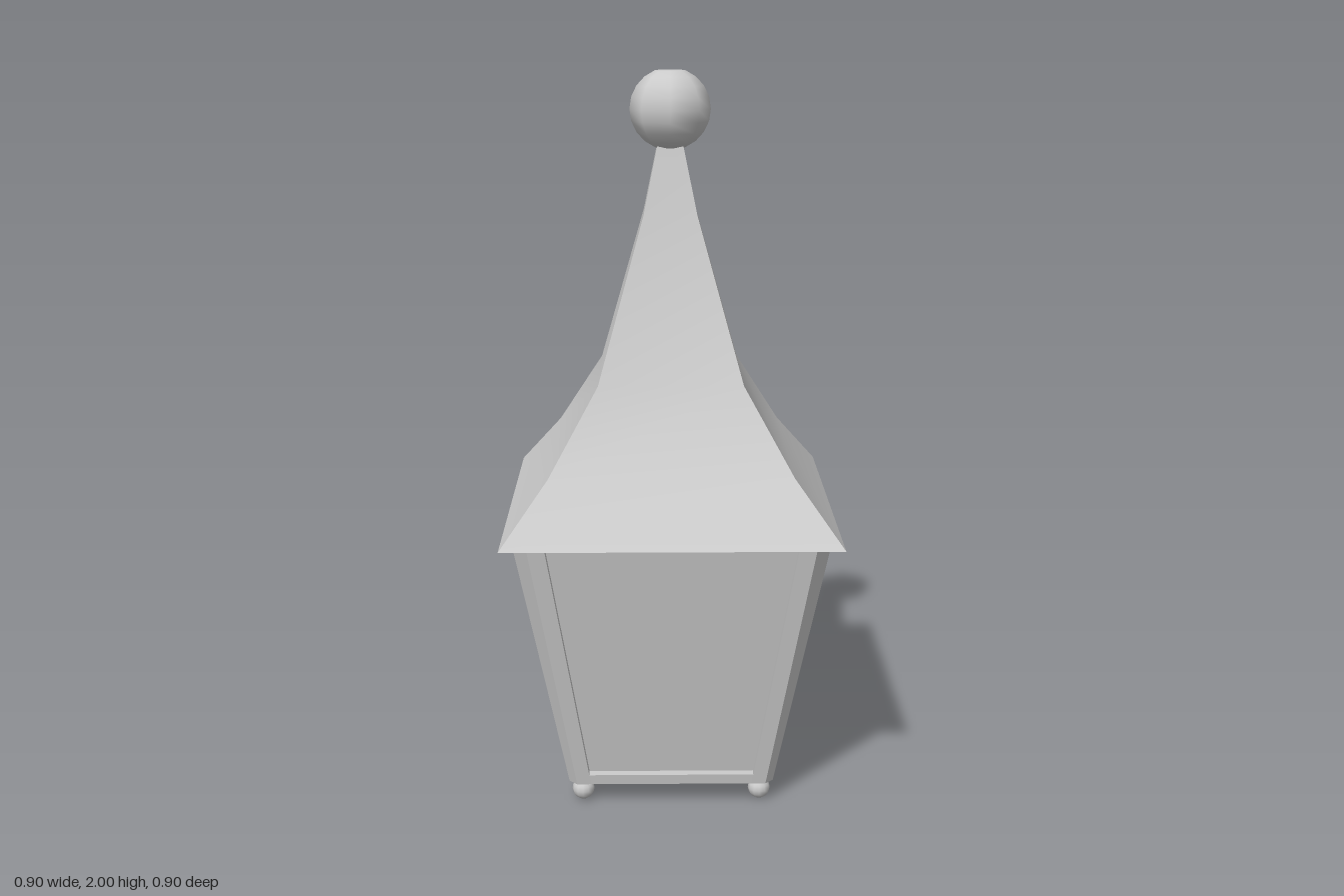
import * as THREE from 'three';
import { toCreasedNormals } from 'three/addons/utils/BufferGeometryUtils.js';

const material = new THREE.MeshStandardMaterial({ color: 0xcccccc, side: THREE.DoubleSide });

// Capped loft through rings { y, pts: [[x, z], ...] }, counter-clockwise seen from above
function loft(rings) {
  const n = rings[0].pts.length, pos = [], idx = [];
  for (const { y, pts } of rings) for (const [x, z] of pts) pos.push(x, y, z);
  for (let r = 0; r < rings.length - 1; r++) {
    for (let i = 0; i < n; i++) {
      const a = r * n + i, b = r * n + (i + 1) % n;
      idx.push(a, b, b + n, a, b + n, a + n);
    }
  }
  const top = (rings.length - 1) * n;
  for (let i = 1; i < n - 1; i++) {
    idx.push(0, i + 1, i);
    idx.push(top, top + i, top + i + 1);
  }
  const geo = new THREE.BufferGeometry();
  geo.setAttribute('position', new THREE.Float32BufferAttribute(pos, 3));
  geo.setIndex(idx);
  return toCreasedNormals(geo, 0.6);
}

const square = (h) => [[-h, h], [h, h], [h, -h], [-h, -h]];

export function createModel() {
  const model = new THREE.Group();
  const add = (name, geo, parent = model) => {
    const mesh = new THREE.Mesh(geo, material);
    mesh.name = name;
    parent.add(mesh);
    return mesh;
  };

  // Flared four-sided roof: [height, half width]
  const roofProfile = [[0.8, 0.45], [0.96, 0.325], [1.18, 0.195], [1.62, 0.072], [1.8, 0.035]];
  add('roof', loft(roofProfile.map(([y, h]) => ({ y, pts: square(h) }))));

  // Ball finial with flattened poles
  const finial = new THREE.Group();
  finial.name = 'finial';
  finial.position.y = 1.895;
  model.add(finial);
  const cut = 0.38, r = 0.109, capY = 0.105;
  add('finialBall', new THREE.SphereGeometry(r, 8, 8, 0, Math.PI * 2, cut, Math.PI - 2 * cut), finial);
  for (const s of [1, -1]) {
    const cap = add('finialCap', new THREE.CircleGeometry(r * Math.sin(cut), 8), finial);
    cap.rotation.x = -s * Math.PI / 2;
    cap.position.y = s * Math.min(capY, r * Math.cos(cut));
  }

  // Chamfered corner post: a = outer face, c = chamfer, w = inner edge
  const postRing = (y, a, c, w) => ({ y, pts: [[w, a], [a - c, a], [a, a - c], [a, w], [w, w]] });
  const postGeo = loft([postRing(0.06, 0.285, 0.022, 0.224), postRing(0.8, 0.42, 0.04, 0.333)]);

  // Sloping pane, set back behind the posts
  const slab = (y, x, z0, z1) => ({ y, pts: [[-x, z1], [x, z1], [x, z0], [-x, z0]] });
  const paneGeo = loft([slab(0.08, 0.235, 0.25, 0.263), slab(0.8, 0.34, 0.383, 0.396)]);

  // Bottom rail with mitred inner corners
  const railRing = (y, a) => ({ y, pts: [[-a + 0.022, a], [a - 0.022, a], [0.21, 0.21], [-0.21, 0.21]] });
  const railGeo = loft([railRing(0.06, 0.285), railRing(0.09, 0.29)]);

  const footGeo = new THREE.SphereGeometry(0.031, 12, 8);

  // Each quarter turn carries a post, pane, rail and foot
  for (let i = 0; i < 4; i++) {
    const side = new THREE.Group();
    side.name = 'side' + (i + 1);
    side.rotation.y = i * Math.PI / 2;
    model.add(side);
    add('cornerPost', postGeo, side);
    add('pane', paneGeo, side);
    add('bottomRail', railGeo, side);
    add('foot', footGeo, side).position.set(0.247, 0.031, 0.247);
  }

  // Crossed bars inside, just above the base
  for (const turn of [0, Math.PI / 2]) {
    const bar = add('crossBar', new THREE.BoxGeometry(0.53, 0.015, 0.07));
    bar.position.y = 0.14;
    bar.rotation.y = turn;
  }
  return model;
}
